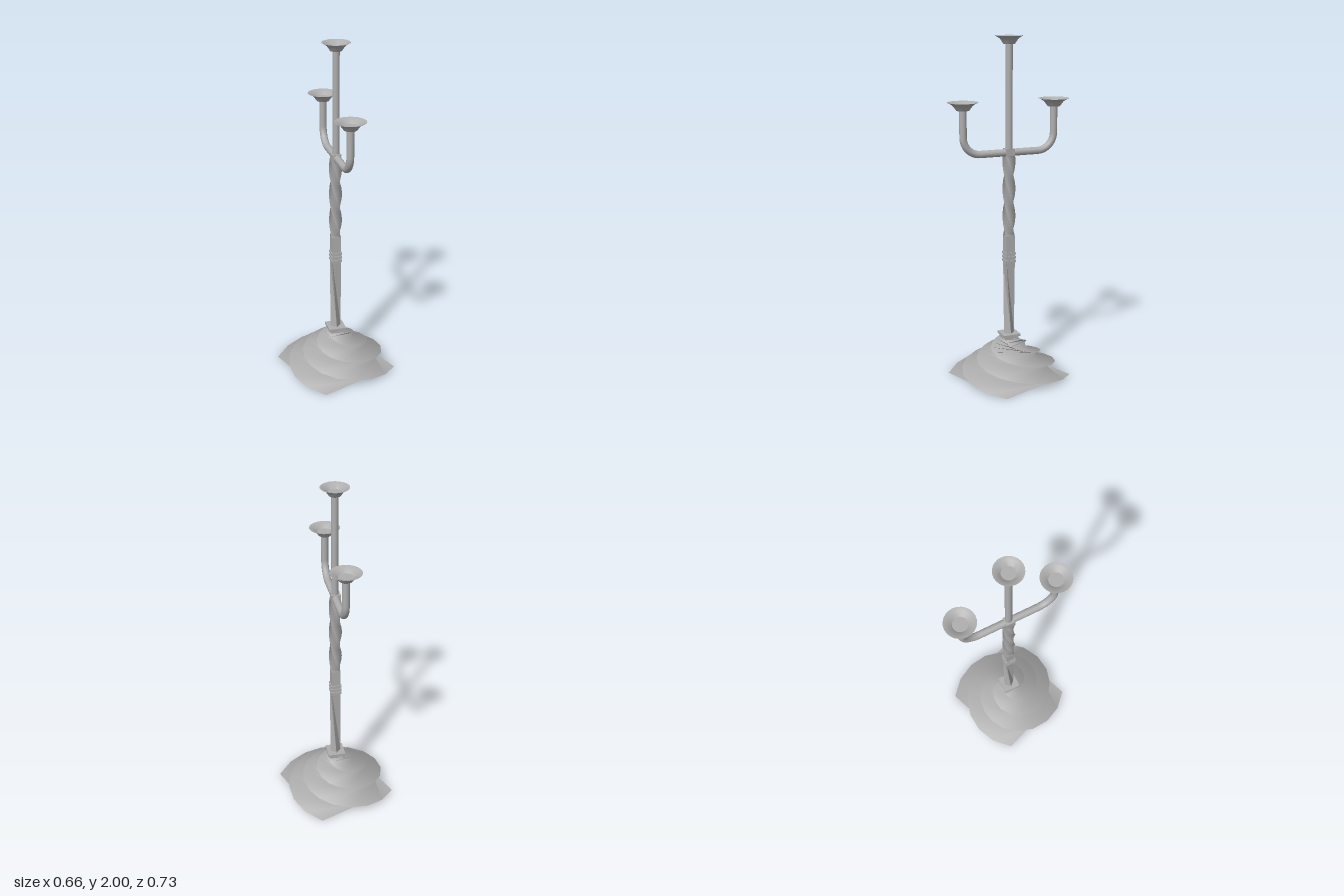
import * as THREE from 'three';
import { toCreasedNormals } from 'three/addons/utils/BufferGeometryUtils.js';

const metal = new THREE.MeshStandardMaterial({ color: 0xaeaeae });
const cupMetal = new THREE.MeshStandardMaterial({ color: 0xaeaeae, side: THREE.DoubleSide });

function add(group, name, geometry, mat = metal) {
  const mesh = new THREE.Mesh(geometry, mat);
  mesh.name = name;
  group.add(mesh);
  return mesh;
}

// Square bar whose corner radius and angle (degrees) change linearly with height.
// Sides are smooth; the caps have their own corners so their rims stay sharp.
function twistedBar(y0, y1, r0, r1, a0, a1, steps) {
  const pos = [], idx = [];
  const ring = (t) => {
    const y = THREE.MathUtils.lerp(y0, y1, t);
    const r = THREE.MathUtils.lerp(r0, r1, t);
    for (let k = 0; k < 4; k++) {
      const a = THREE.MathUtils.degToRad(THREE.MathUtils.lerp(a0, a1, t) + k * 90);
      pos.push(r * Math.cos(a), y, r * Math.sin(a));
    }
  };
  for (let i = 0; i <= steps; i++) ring(i / steps);
  for (let i = 0; i < steps; i++) {
    for (let k = 0; k < 4; k++) {
      const A0 = i * 4 + k, B0 = i * 4 + (k + 1) % 4;
      const A1 = A0 + 4, B1 = B0 + 4;
      idx.push(A0, A1, B1, A0, B1, B0);
    }
  }
  const b = steps * 4 + 4, t = b + 4;
  ring(0);
  ring(1);
  idx.push(b, b + 1, b + 2, b, b + 2, b + 3, t, t + 2, t + 1, t, t + 3, t + 2);
  const g = new THREE.BufferGeometry();
  g.setAttribute('position', new THREE.Float32BufferAttribute(pos, 3));
  g.setIndex(idx);
  g.computeVertexNormals();
  return g;
}

// Axis-aligned square block between two heights
function block(group, name, y0, y1, half) {
  add(group, name, new THREE.BoxGeometry(half * 2, y1 - y0, half * 2)).position.y = (y0 + y1) / 2;
}

// Flared cup with a flat floor, rim at height y
function addCup(group, name, y, z, scale) {
  const profile = [
    [0, -0.045], [0.036, -0.045], [0.047, -0.03], [0.056, -0.018], [0.07, -0.008],
    [0.088, 0], [0.068, -0.005], [0.042, -0.026], [0, -0.026],
  ].map(([r, h]) => new THREE.Vector2(r * scale, h));
  const cup = add(group, name, toCreasedNormals(new THREE.LatheGeometry(profile, 24), 0.6), cupMetal);
  cup.position.set(0, y, z);
}

export function createModel() {
  const model = new THREE.Group();
  model.name = 'candelabrum';

  // Spiralling pyramid foot and its stepped collar
  add(model, 'twistedBase', twistedBar(0, 0.238, 0.363, 0.06, 24.4, 324.4, 15));
  block(model, 'baseCollarLower', 0.23, 0.25, 0.043);
  block(model, 'baseCollarUpper', 0.25, 0.264, 0.052);

  // Lower stem: one facet span turning an eighth of a turn
  add(model, 'lowerStem', toCreasedNormals(twistedBar(0.262, 0.705, 0.032, 0.037, 0, 45, 1), 0.3));

  // Stacked square rings and plain section
  block(model, 'plainStem', 0.70, 0.86, 0.026);
  for (const y of [0.702, 0.725, 0.748]) block(model, 'stemRing', y, y + 0.014, 0.031);

  // Rope-twisted shaft with its top block
  add(model, 'twistedShaft', twistedBar(0.855, 1.335, 0.037, 0.037, 45, 315, 27));
  block(model, 'shaftTop', 1.33, 1.37, 0.026);

  // Candle holders: centre post with a cup, and an arm to the front and back
  const holders = new THREE.Group();
  holders.name = 'candleHolders';
  holders.position.x = 0.003;
  model.add(holders);

  add(holders, 'centrePost', new THREE.CylinderGeometry(0.02, 0.02, 0.6, 16)).position.y = 1.66;
  addCup(holders, 'centreCup', 2, 0, 0.91);

  const armZ = 0.277, armY = 1.347, bend = 0.1;
  for (const s of [1, -1]) {
    const v = (y, z) => new THREE.Vector3(0, y, z * s);
    const path = new THREE.CurvePath();
    path.add(new THREE.LineCurve3(v(armY, 0), v(armY, armZ - bend)));
    path.add(new THREE.CubicBezierCurve3(
      v(armY, armZ - bend), v(armY, armZ - bend * 0.45),
      v(armY + bend * 0.45, armZ), v(armY + bend, armZ)));
    path.add(new THREE.LineCurve3(v(armY + bend, armZ), v(1.605, armZ)));
    const side = s > 0 ? 'front' : 'back';
    add(holders, side + 'Arm', new THREE.TubeGeometry(path, 40, 0.021, 14));
    addCup(holders, side + 'Cup', 1.643, armZ * s, 1);
  }
  return model;
}
